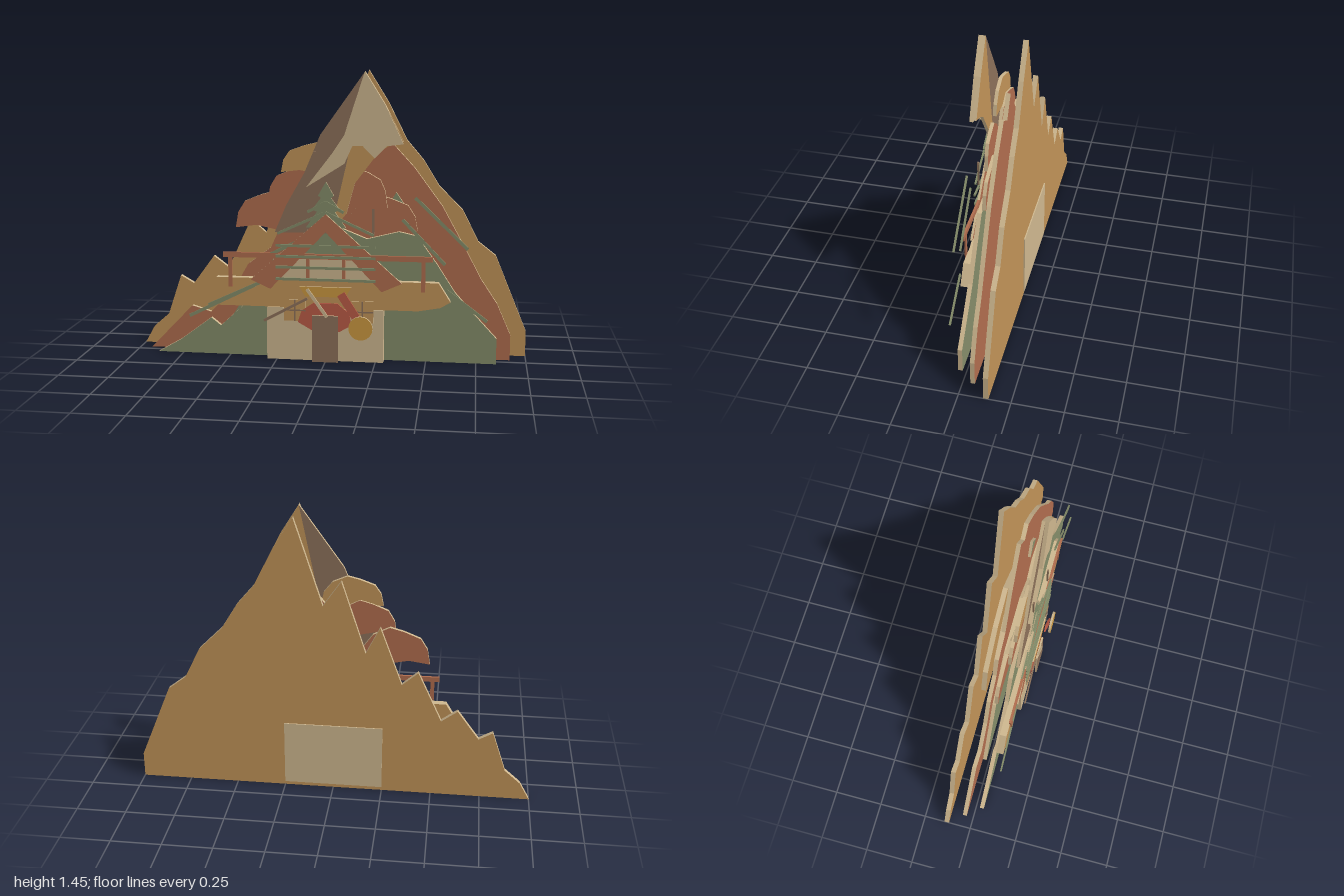
import * as THREE from 'three';

const paint = (name, color) => {
  const m = new THREE.MeshStandardMaterial({ color });
  m.name = name;
  return m;
};

export function createModel() {
  const model = new THREE.Group();
  const ochre = paint('ochre', 0xbf9257);
  const terracotta = paint('terracotta', 0xaf6c4d);
  const green = paint('sage green', 0x838b68);
  const tan = paint('pale wood', 0xcdb68e);
  const brown = paint('brown', 0x8b7059);
  const red = paint('red', 0xb95a45);
  const gold = paint('gold', 0xc9973f);

  // Cut-out board: painted faces with a pale wood edge
  function board(name, pts, z0, z1, mat, edge = tan) {
    const shape = new THREE.Shape(pts.map(p => new THREE.Vector2(p[0], p[1])));
    const geo = new THREE.ExtrudeGeometry(shape, { depth: z1 - z0, bevelEnabled: false });
    const mesh = new THREE.Mesh(geo, [mat, edge]);
    mesh.name = name;
    mesh.position.z = z0;
    model.add(mesh);
    return mesh;
  }
  const rect = (x0, y0, x1, y1) => [[x0, y0], [x1, y0], [x1, y1], [x0, y1]];

  // Straight strip from one point to another
  function stick(name, x0, y0, x1, y1, width, z, mat, depth = 0.008) {
    const mesh = new THREE.Mesh(
      new THREE.BoxGeometry(Math.hypot(x1 - x0, y1 - y0), width, depth), mat);
    mesh.name = name;
    mesh.position.set((x0 + x1) / 2, (y0 + y1) / 2, z);
    mesh.rotation.z = Math.atan2(y1 - y0, x1 - x0);
    model.add(mesh);
  }

  // Back mountain
  board('backMountain', [[-1, 0], [1, 0], [1, 0.13], [0.84, 0.52], [0.75, 0.59],
    [0.67, 0.75], [0.55, 0.87], [0.47, 1.0], [0.385, 1.1], [0.29, 1.29], [0.19, 1.45],
    [0.05, 1.01], [-0.04, 1.14], [-0.16, 0.77], [-0.23, 0.91], [-0.34, 0.61], [-0.42, 0.68],
    [-0.54, 0.42], [-0.62, 0.48], [-0.73, 0.33], [-0.8, 0.37], [-0.87, 0.16], [-0.95, 0.09]],
  -0.143, -0.118, ochre);
  board('backPanel', rect(-0.25, 0.02, 0.25, 0.36), -0.149, -0.143, tan);

  // Inner boards between the mountains
  board('innerRidge', [[-0.35, 0.4], [0.34, 0.4], [0.3, 0.58], [0.1, 0.75], [-0.1, 0.7], [-0.3, 0.56]],
    -0.108, -0.082, ochre);
  board('innerHill', [[-0.34, 0.01], [0.34, 0.01], [0.2, 0.45], [0, 0.62], [-0.2, 0.45]],
    -0.08, -0.065, terracotta);
  board('innerSlope', [[-0.62, 0], [0.62, 0], [0.4, 0.35], [0.15, 0.53], [-0.15, 0.53], [-0.4, 0.35]],
    -0.035, -0.015, green);

  // Middle mountain
  board('middleMountain', [[-0.94, 0], [0.92, 0], [0.92, 0.13], [0.85, 0.29], [0.77, 0.41],
    [0.68, 0.58], [0.57, 0.78], [0.43, 0.97], [0.32, 1.09], [0.25, 1.05], [0.18, 1.155],
    [0.02, 0.95], [-0.12, 0.72], [-0.25, 0.66], [-0.3, 0.55], [-0.42, 0.46], [-0.5, 0.32],
    [-0.62, 0.2], [-0.72, 0.23]], -0.058, -0.036, terracotta);

  // Front green slope
  board('frontSlope', [[-0.88, 0], [0.85, 0], [0.85, 0.13], [0.72, 0.27], [0.64, 0.36],
    [0.55, 0.5], [0.45, 0.64], [0.36, 0.66], [0.2, 0.62], [0, 0.7], [-0.14, 0.62],
    [-0.28, 0.5], [-0.36, 0.34], [-0.42, 0.27], [-0.55, 0.15], [-0.6, 0.19], [-0.76, 0.07]],
  0.02, 0.042, green);

  // Domed foliage layers
  function foliage(name, x0, x1, y0, y1, z, mat) {
    const profile = [[0, 0], [0.3, 0.08], [0.62, -0.04], [1, 0.04], [0.96, 0.42], [0.82, 0.78],
      [0.58, 1], [0.38, 0.9], [0.14, 0.72], [0.04, 0.42]];
    board(name, profile.map(([u, v]) => [x0 + u * (x1 - x0), y0 + v * (y1 - y0)]), z, z + 0.018, mat);
  }
  foliage('lowerFoliage', -0.47, -0.12, 0.66, 0.85, 0.003, terracotta);
  foliage('middleFoliage', -0.3, 0.02, 0.8, 0.98, 0.026, terracotta);
  foliage('upperFoliage', -0.23, 0.08, 0.95, 1.1, 0.036, ochre);
  foliage('rightFoliage', 0.45, 0.1, 0.66, 0.84, 0.0, terracotta);
  foliage('innerFoliage', 0.3, 0.06, 0.78, 0.97, 0.026, terracotta);
  board('smallPine', [[0.29, 0.76], [0.4, 0.76], [0.34, 0.85]], -0.03, -0.015, green);

  // Sharp peak in shaded, sunny and snowy boards
  board('peakShade', [[0.19, 1.45], [-0.03, 1.14], [-0.11, 0.95], [-0.2, 0.79], [-0.26, 0.65],
    [0.02, 0.65], [0.1, 1.0]], 0.056, 0.072, brown);
  board('peakSlope', [[0.19, 1.45], [0.1, 1.0], [0.02, 0.65], [0.1, 0.75], [0.14, 0.9], [0.26, 1.06],
    [0.31, 1.09], [0.38, 1.11], [0.29, 1.29]], 0.056, 0.072, ochre);
  board('peakCap', [[0.19, 1.45], [0.09, 1.14], [0.03, 1.05], [-0.1, 0.88], [0.09, 1.0], [0.13, 1.09],
    [0.18, 1.09], [0.24, 1.03], [0.3, 1.09], [0.38, 1.1], [0.29, 1.29]], 0.072, 0.09, tan);

  // Ledge and hall wall
  board('ledge', [[-0.63, 0.3], [-0.56, 0.27], [0.46, 0.27], [0.57, 0.29], [0.62, 0.32],
    [0.56, 0.415], [-0.56, 0.415]], 0.05, 0.086, ochre);
  board('hallWall', rect(-0.3, 0, 0.29, 0.27), 0.045, 0.094, tan);
  board('door', rect(-0.065, 0, 0.065, 0.24), 0.112, 0.122, brown);

  // Gable with open centre, pediment and slats
  board('pediment', [[-0.25, 0.41], [0.25, 0.41], [0.12, 0.53], [-0.12, 0.53]], 0.07, 0.082, tan);
  board('gableRoof', [[0, 0.75], [-0.38, 0.41], [-0.28, 0.365], [0, 0.66], [0.28, 0.365], [0.38, 0.41]],
    0.088, 0.1, terracotta);
  for (const y of [0.42, 0.48, 0.535, 0.59])
    stick('gableSlat', -0.25, y, 0.25, y, 0.013, 0.108, green);

  // Tiered pine above the gable
  const half = [[0, 0.91], [0.04, 0.84], [0.025, 0.83], [0.07, 0.77], [0.045, 0.76], [0.1, 0.68]];
  board('pine', [...half, ...half.slice(1).reverse().map(([x, y]) => [-x, y])], 0.078, 0.087, green);
  for (const s of [-1, 1]) {
    stick('pineBranch', 0, 0.81, s * 0.09, 0.76, 0.014, 0.1, green);
    stick('pineBranch', 0, 0.76, s * 0.24, 0.65, 0.013, 0.106, green);
  }

  // Balcony railing
  stick('railing', -0.52, 0.535, 0.53, 0.535, 0.026, 0.094, terracotta, 0.012);
  for (const s of [-1, 1]) {
    for (const [x, w, y] of [[0.485, 0.02, 0.37], [0.24, 0.016, 0.41], [0.09, 0.016, 0.41]])
      stick('railingPost', s * x, y, s * x, 0.53, w, 0.092, terracotta);
  }

  // Loose branches on the slopes
  for (const [x0, y0, x1, y1] of [[0.44, 0.84, 0.7, 0.59], [0.38, 0.73, 0.59, 0.51],
    [0.6, 0.38, 0.8, 0.23], [-0.7, 0.21, -0.36, 0.38], [-0.6, 0.27, -0.3, 0.41],
    [-0.3, 0.53, -0.1, 0.63]])
    stick('branch', x0, y0, x1, y1, 0.016, 0.091, green);
  stick('rightTrunk', 0.235, 0.65, 0.235, 0.78, 0.012, 0.09, brown);
  stick('upperTrunk', -0.055, 0.95, -0.055, 1.06, 0.012, 0.088, brown);

  // Red half-round banner, lattice windows and sign
  board('banner', [[-0.14, 0.2], [-0.07, 0.16], [0.07, 0.155], [0.13, 0.19], [0.12, 0.25],
    [0.06, 0.3], [-0.06, 0.3], [-0.12, 0.26]], 0.098, 0.106, red, red);
  for (const [x0, x1] of [[-0.21, -0.1], [0.13, 0.24]]) {
    board('windowPanel', rect(x0, 0.205, x1, 0.315), 0.098, 0.104, ochre);
    stick('windowBar', x0, 0.26, x1, 0.26, 0.007, 0.105, brown, 0.004);
    stick('windowBar', (x0 + x1) / 2, 0.205, (x0 + x1) / 2, 0.315, 0.007, 0.105, brown, 0.004);
  }
  board('sign', [[-0.1, 0.335], [0.1, 0.335], [0.13, 0.385], [-0.13, 0.385]], 0.106, 0.116, gold);

  // Tools and gold disc in front of the door
  stick('paleStick', -0.09, 0.375, 0.01, 0.235, 0.016, 0.127, tan);
  stick('brownStick', -0.31, 0.205, -0.09, 0.325, 0.013, 0.118, brown);
  stick('redHandle', 0.08, 0.355, 0.17, 0.215, 0.042, 0.127, red);
  const disc = new THREE.Mesh(new THREE.CylinderGeometry(0.06, 0.06, 0.012, 24), [tan, gold, gold]);
  disc.name = 'goldDisc';
  disc.rotation.x = Math.PI / 2;
  disc.position.set(0.18, 0.187, 0.141);
  model.add(disc);

  return model;
}
